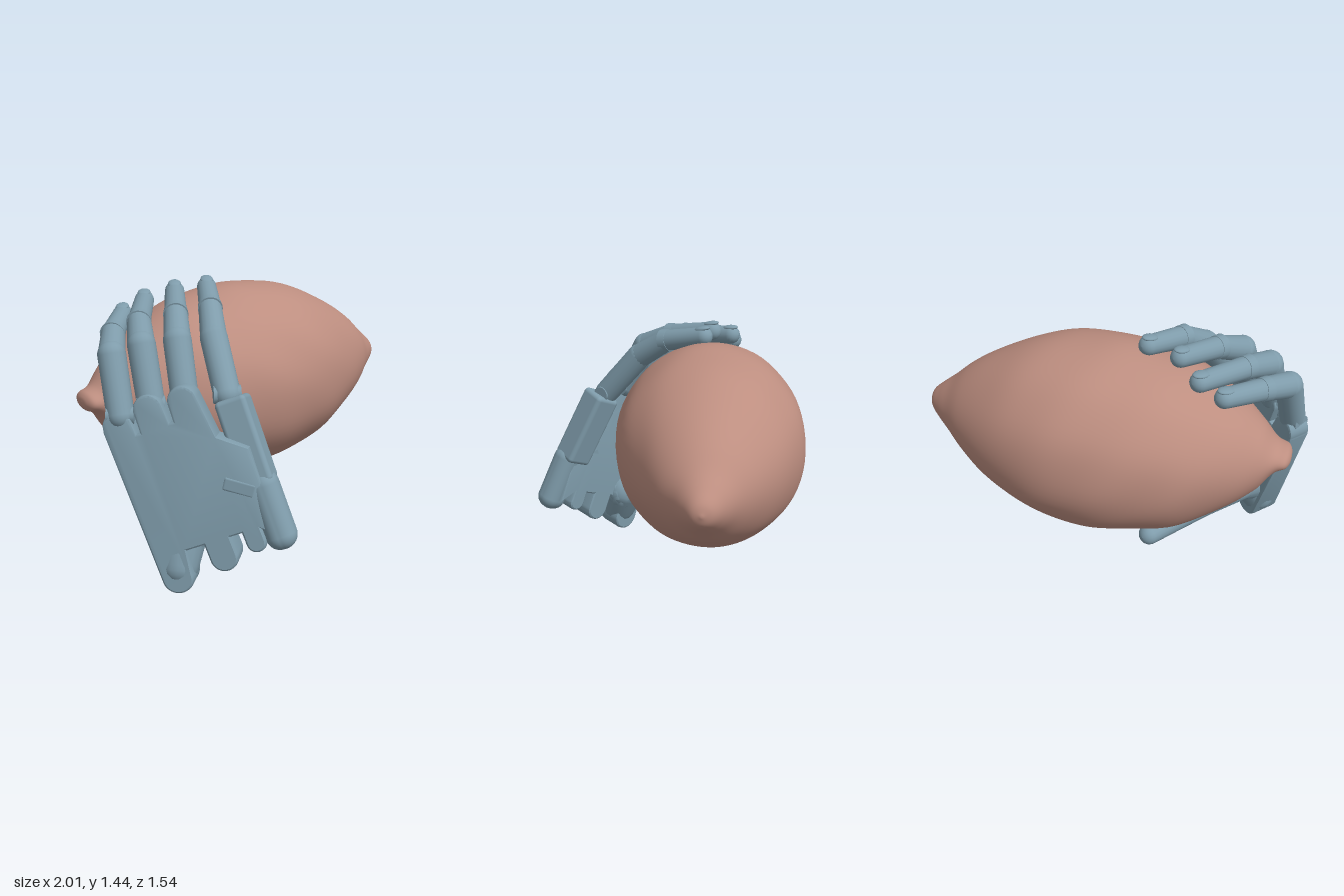
import * as THREE from 'three';
import { mergeVertices, toCreasedNormals } from 'three/addons/utils/BufferGeometryUtils.js';
import { RoundedBoxGeometry } from 'three/addons/geometries/RoundedBoxGeometry.js';

const V2 = (x, y) => new THREE.Vector2(x, y);
const V3 = (a) => new THREE.Vector3(...a);
const UP = new THREE.Vector3(0, 1, 0);
const handMat = new THREE.MeshStandardMaterial({ color: 0x7f9cab });
const fruitMat = new THREE.MeshStandardMaterial({ color: 0xbd8e80 });

function add(parent, name, geometry, material = handMat) {
  const mesh = new THREE.Mesh(geometry, material);
  mesh.name = name;
  parent.add(mesh);
  return mesh;
}

// Tapered round-ended segment from p to q
function segment(parent, name, p, q, r0, r1) {
  const a = V3(p), b = V3(q), len = a.distanceTo(b), pts = [];
  for (let i = 0; i <= 6; i++) {
    const t = (i / 6) * Math.PI / 2;
    pts.push(V2(r0 * Math.sin(t), -r0 * Math.cos(t)));
  }
  for (let i = 0; i <= 6; i++) {
    const t = (i / 6) * Math.PI / 2;
    pts.push(V2(r1 * Math.cos(t), len + r1 * Math.sin(t)));
  }
  const mesh = add(parent, name, new THREE.LatheGeometry(pts, 18));
  mesh.position.copy(a);
  mesh.quaternion.setFromUnitVectors(UP, b.sub(a).normalize());
}

// Lemon: a turned profile along x, with a bent axis, a flattened stalk nub and an uneven skin
function buildLemon() {
  const profile = [[-0.96, 0], [-0.955, 0.05], [-0.935, 0.09], [-0.88, 0.115], [-0.81, 0.175],
    [-0.7, 0.27], [-0.55, 0.365], [-0.4, 0.438], [-0.2, 0.49], [0, 0.511], [0.2, 0.497],
    [0.4, 0.443], [0.6, 0.347], [0.75, 0.25], [0.85, 0.165], [0.92, 0.11], [0.98, 0.055], [1, 0]];
  const curve = new THREE.CatmullRomCurve3(profile.map(([x, r]) => new THREE.Vector3(r, x, 0)), false, 'centripetal');
  const pts = curve.getPoints(90).map((p) => V2(Math.max(p.x, 0), p.y));
  let g = new THREE.LatheGeometry(pts, 72).rotateZ(-Math.PI / 2);
  g.deleteAttribute('uv');
  g.deleteAttribute('normal');
  g = mergeVertices(g, 1e-5);
  const pos = g.attributes.position;
  for (let i = 0; i < pos.count; i++) {
    const x = pos.getX(i), y = pos.getY(i), z = pos.getZ(i);
    const bump = 1 + 0.008 * Math.sin(14 * x + 5 * y) * Math.cos(6 * z + 3 * x)
      + 0.006 * Math.sin(17 * y + 5 * x) * Math.sin(15 * z - 6 * x);
    const nub = THREE.MathUtils.smoothstep(-x, 0.8, 0.93);
    const tip = x > 0 ? 0.05 * x ** 3 : 0;
    pos.setXYZ(i, x, 0.847 + 0.02 * nub - 0.2 * tip + y * bump * (1 - 0.45 * nub), -0.25 + tip + z * bump);
  }
  g.computeVertexNormals();
  return g;
}

// Palm outline: scalloped knuckles above, hinge tabs below
function palmShape() {
  const s = new THREE.Shape();
  s.moveTo(-0.07, 0);
  s.lineTo(-0.065, 0.8);
  [[0, 0.805], [0.175, 0.835], [0.35, 0.82]].forEach(([u, v], i) => {
    s.absarc(u, v, 0.062, Math.PI, 0, true);
    if (i < 2) {
      s.lineTo(u + 0.066, 0.73);
      s.lineTo(u + 0.108, 0.73);
    }
  });
  s.lineTo(0.43, 0.6);
  s.lineTo(0.56, 0.5);
  s.lineTo(0.56, 0.06);
  [[0.44, 0.055, 0.04], [0.26, 0.03, 0.06]].forEach(([u, v, r]) => {
    s.lineTo(u + r, 0.13);
    s.lineTo(u + r, v);
    s.absarc(u, v, r, 0, -Math.PI, true);
    s.lineTo(u - r, 0.13);
  });
  s.lineTo(0.09, 0.13);
  s.lineTo(0.07, 0);
  s.absarc(0, 0, 0.07, 0, -Math.PI, true);
  return s;
}

function buildPalm(hand) {
  const palm = new THREE.Group();
  palm.name = 'palm';
  // local axes: u across the knuckles, v towards the fingers, n out of the back of the hand
  const v = V3([-0.197, 0.925, -0.321]).normalize();
  const n = V3([-0.724, 0.083, 0.683]);
  const u = new THREE.Vector3().crossVectors(v, n).normalize();
  n.crossVectors(u, v);
  palm.quaternion.setFromRotationMatrix(new THREE.Matrix4().makeBasis(u, v, n));
  palm.position.set(-0.77, 0.08, 0.33);
  hand.add(palm);

  // plate, thicker towards the wrist
  const plate = new THREE.ExtrudeGeometry(palmShape(), {
    depth: 0.09, bevelEnabled: true, bevelThickness: 0.015, bevelSize: 0.012, bevelSegments: 2, curveSegments: 10,
  }).translate(0, 0, -0.055);
  const pos = plate.attributes.position;
  for (let i = 0; i < pos.count; i++) {
    pos.setZ(i, pos.getZ(i) * (1.4 - 0.5 * pos.getY(i)));
  }
  add(palm, 'palmPlate', toCreasedNormals(plate, 0.6));

  // separate outer bone, tilted around the fruit, and its wrist hinge
  const bone = add(palm, 'outerPalmBone', new RoundedBoxGeometry(0.16, 0.44, 0.16, 3, 0.025));
  bone.position.set(0.545, 0.52, -0.07);
  bone.rotation.x = -0.17;
  const hinge = add(palm, 'outerWristHinge', new RoundedBoxGeometry(0.155, 0.4, 0.155, 5, 0.07));
  hinge.position.set(0.56, 0.17, 0);
  hinge.rotation.x = -0.1;
  const clasp = add(palm, 'palmClasp', new RoundedBoxGeometry(0.16, 0.07, 0.15, 2, 0.012));
  clasp.position.set(0.46, 0.34, -0.01);
  clasp.rotation.z = -0.6;
}

// Fingers: knuckle, middle joint, end joint, tip
const FINGERS = {
  indexFinger: [[-0.92, 0.875, 0.07], [-0.89, 1.15, -0.04], [-0.785, 1.212, -0.2], [-0.62, 1.25, -0.38]],
  middleFinger: [[-0.8, 0.925, 0.16], [-0.775, 1.2, 0.05], [-0.68, 1.27, -0.12], [-0.495, 1.31, -0.365]],
  ringFinger: [[-0.665, 0.955, 0.25], [-0.62, 1.215, 0.13], [-0.52, 1.305, -0.03], [-0.375, 1.36, -0.255]],
  littleFinger: [[-0.485, 0.965, 0.35], [-0.42, 1.2, 0.155], [-0.33, 1.315, 0], [-0.205, 1.37, -0.205]],
};

function buildFinger(hand, name, j) {
  const finger = new THREE.Group();
  finger.name = name;
  hand.add(finger);
  segment(finger, 'lowerSegment', j[0], j[1], 0.068, 0.07);
  segment(finger, 'middleSegment', j[1], j[2], 0.068, 0.06);
  segment(finger, 'tipSegment', j[2], j[3], 0.058, 0.051);

  const side = V3(j[3]).sub(V3(j[1])).cross(UP).normalize();
  // hinge pin through the knuckle
  const pin = add(finger, 'hingePin', new THREE.CylinderGeometry(0.045, 0.045, 0.135, 16));
  pin.position.fromArray(j[0]);
  pin.quaternion.setFromUnitVectors(UP, side);
  // collar at the end joint
  const dir = V3(j[3]).sub(V3(j[2])).normalize();
  const collar = add(finger, 'jointCollar', new THREE.CylinderGeometry(0.06, 0.064, 0.045, 18));
  collar.position.fromArray(j[2]);
  collar.quaternion.setFromUnitVectors(UP, dir);
  // fingernail on the outer face
  const out = new THREE.Vector3().crossVectors(side, dir).normalize();
  if (out.y < 0) out.negate();
  const across = new THREE.Vector3().crossVectors(dir, out);
  const nail = add(finger, 'fingernail', new THREE.SphereGeometry(1, 16, 10));
  nail.scale.set(0.034, 0.048, 0.014);
  nail.quaternion.setFromRotationMatrix(new THREE.Matrix4().makeBasis(across, dir, out));
  nail.position.fromArray(j[3]).addScaledVector(out, 0.042);
}

// Thumb: swollen root, two segments and a tapering tip
function buildThumb(hand) {
  const thumb = new THREE.Group();
  thumb.name = 'thumb';
  hand.add(thumb);
  const chain = [[[-0.76, 0.12, 0.31], 0.1], [[-0.715, 0.25, 0.275], 0.125], [[-0.675, 0.31, 0.12], 0.083],
    [[-0.495, 0.318, -0.09], 0.08], [[-0.38, 0.322, -0.27], 0.064], [[-0.285, 0.352, -0.445], 0.056]];
  ['wristJoint', 'root', 'lowerSegment', 'middleSegment', 'tipSegment'].forEach((name, i) =>
    segment(thumb, name, chain[i][0], chain[i + 1][0], chain[i][1], chain[i + 1][1]));
}

export function createModel() {
  const model = new THREE.Group();
  model.name = 'handHoldingLemon';
  add(model, 'lemon', buildLemon(), fruitMat);
  const hand = new THREE.Group();
  hand.name = 'hand';
  model.add(hand);
  buildPalm(hand);
  for (const [name, joints] of Object.entries(FINGERS)) buildFinger(hand, name, joints);
  buildThumb(hand);
  return model;
}
